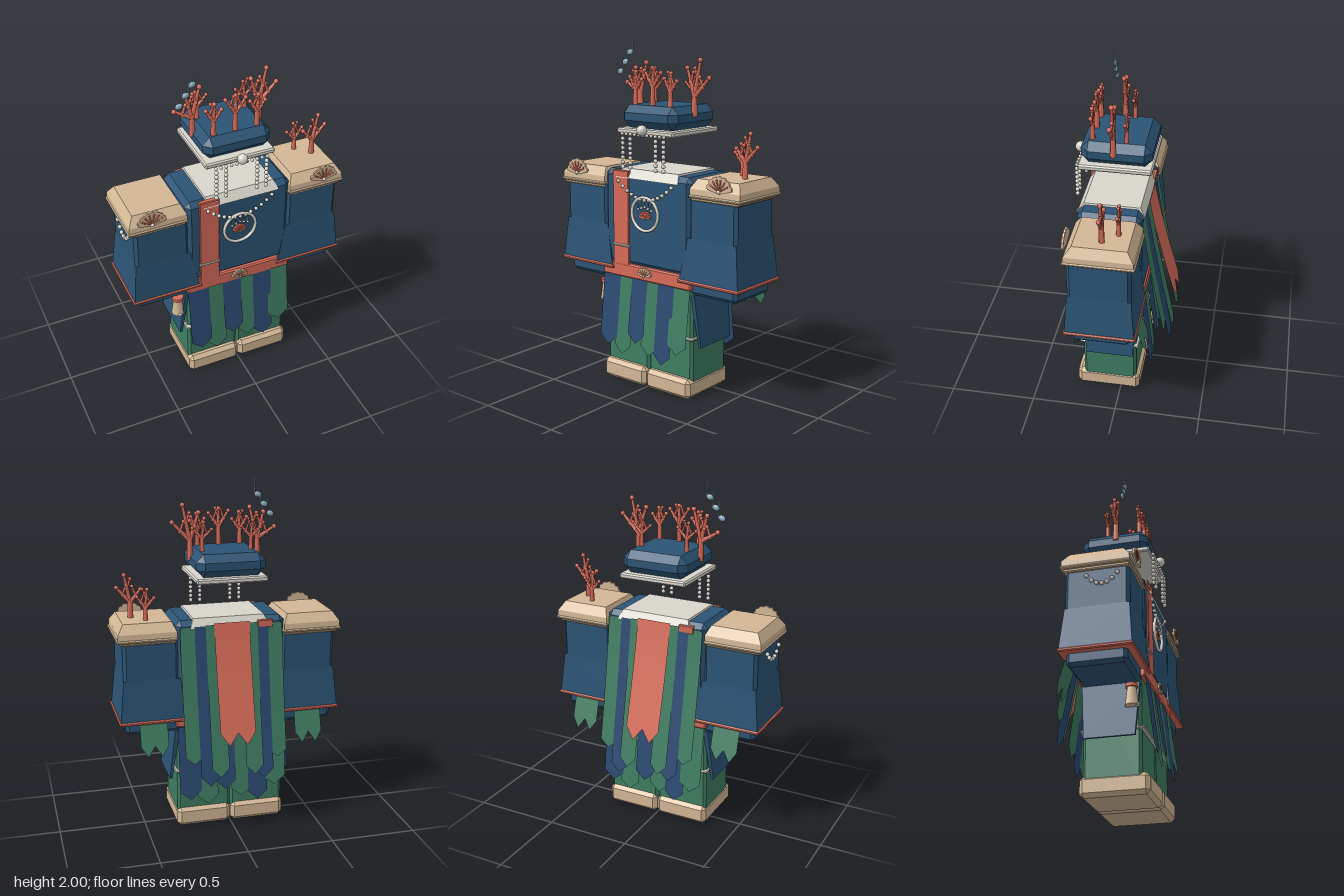
import * as THREE from 'three';
import { ConvexGeometry } from 'three/addons/geometries/ConvexGeometry.js';

const mat = (name, color, side = THREE.FrontSide) => {
  const m = new THREE.MeshStandardMaterial({ color, side });
  m.name = name;
  return m;
};

export function createModel() {
  const root = new THREE.Group();
  root.name = 'coralRobe';
  const blue = mat('robeBlue', 0x2c5475);
  const navy = mat('stripBlue', 0x2b4a72, THREE.DoubleSide);
  const green = mat('seaGreen', 0x3f7d62, THREE.DoubleSide);
  const coralRed = mat('coralRed', 0xd76c59, THREE.DoubleSide);
  const beige = mat('sandBeige', 0xd4b896);
  const pearl = mat('pearlWhite', 0xd9d6cc);
  const mist = mat('mistBlue', 0x8fb0c0);

  const add = (name, geo, m, x = 0, y = 0, z = 0, parent = root) => {
    const mesh = new THREE.Mesh(geo, m);
    mesh.name = name;
    mesh.position.set(x, y, z);
    parent.add(mesh);
    return mesh;
  };
  const group = (name, x = 0, y = 0, z = 0) => {
    const g = new THREE.Group();
    g.name = name;
    g.position.set(x, y, z);
    root.add(g);
    return g;
  };

  // Box with chamfered edges, given by its extents
  const block = (name, m, [x0, x1], [y0, y1], [z0, z1], c = 0.02) => {
    const pts = [];
    const h = [(x1 - x0) / 2, (y1 - y0) / 2, (z1 - z0) / 2];
    for (const a of [-1, 1]) for (const b of [-1, 1]) for (const d of [-1, 1])
      for (let k = 0; k < 3; k++) {
        const i = [c, c, c];
        i[k] = 0;
        pts.push(new THREE.Vector3(a * (h[0] - i[0]), b * (h[1] - i[1]), d * (h[2] - i[2])));
      }
    return add(name, new ConvexGeometry(pts), m, (x0 + x1) / 2, (y0 + y1) / 2, (z0 + z1) / 2);
  };
  // Solid between two rectangles [x0, x1, z0, z1] at two heights
  const taper = (name, m, y0, a, y1, b) => {
    const pts = [];
    for (const [y, r] of [[y0, a], [y1, b]])
      for (const x of [r[0], r[1]]) for (const z of [r[2], r[3]]) pts.push(new THREE.Vector3(x, y, z));
    return add(name, new ConvexGeometry(pts), m);
  };
  // x range on either side of the body
  const sideX = (s, a, b) => (s > 0 ? [a, b] : [-b, -a]);

  // Hanging cloth strip with pointed ends, leaning from z0 to z1
  const strip = (name, m, x, w, yTop, yTip, z0, z1, notch = 0.05, teeth = 1, bend = 1) => {
    const g = new THREE.PlaneGeometry(w, 1, teeth * 2, 8);
    const p = g.attributes.position;
    for (let i = 0; i < p.count; i++) {
      const col = i % (teeth * 2 + 1);
      const len = yTop - yTip - (col % 2 ? 0 : notch);
      const y = yTop - (0.5 - p.getY(i)) * len;
      const t = (yTop - y) / (yTop - yTip);
      p.setXYZ(i, p.getX(i), y, z0 + (z1 - z0) * Math.pow(t, bend));
    }
    g.computeVertexNormals();
    return add(name, g, m, x);
  };

  const bead = (parent, x, y, z, r = 0.012) =>
    add('bead', new THREE.SphereGeometry(r, 10, 8), pearl, x, y, z, parent);

  // Rod between two points in the xy plane
  const rod = (parent, name, m, a, b, r0, r1) => {
    const dx = b[0] - a[0], dy = b[1] - a[1];
    const mesh = add(name, new THREE.CylinderGeometry(r1, r0, Math.hypot(dx, dy), 7), m,
      (a[0] + b[0]) / 2, (a[1] + b[1]) / 2, 0, parent);
    mesh.rotation.z = -Math.atan2(dx, dy);
  };
  // Branching coral: trunk, limbs to the tips and a twig on each limb
  const coral = (x, y, z, fork, tips, r = 0.013) => {
    const g = group('coral', x, y, z);
    rod(g, 'trunk', coralRed, [0, 0], [0, fork], r * 1.2, r);
    for (const t of tips) {
      const mid = [t[0] * 0.55, fork + (t[1] - fork) * 0.5];
      const twig = [mid[0] + (t[0] > 0 ? -0.02 : 0.02), mid[1] + 0.055];
      rod(g, 'limb', coralRed, [0, fork], t, r * 0.9, r * 0.55);
      rod(g, 'twig', coralRed, mid, twig, r * 0.6, r * 0.45);
      for (const [e, k] of [[t, 0.95], [twig, 0.75], [mid, 0.85]])
        add('knob', new THREE.SphereGeometry(r * k, 8, 6), coralRed, e[0], e[1], 0, g);
    }
  };

  // Scalloped fan shell with ribs
  const shell = (x, y, z, r, m = beige) => {
    const g = group('fanShell', x, y, z);
    const n = 7, a0 = 0.1, step = (Math.PI - 2 * a0) / n;
    const at = (a, k) => [Math.cos(a) * r * k, Math.sin(a) * r * k];
    const s = new THREE.Shape();
    s.moveTo(0, -r * 0.15);
    for (let i = 0; i < n; i++) {
      const a = a0 + i * step;
      s.lineTo(...at(a, 0.93));
      s.quadraticCurveTo(...at(a + step / 2, 1.12), ...at(a + step, 0.93));
    }
    s.closePath();
    add('fan', new THREE.ExtrudeGeometry(s, { depth: 0.012, bevelEnabled: false, curveSegments: 4 }), m, 0, 0, 0, g);
    const ribs = new THREE.Group();
    ribs.name = 'ribs';
    ribs.position.z = 0.012;
    g.add(ribs);
    for (let i = 1; i < n; i++)
      rod(ribs, 'rib', coralRed, at(a0 + i * step, 0.1), at(a0 + i * step, 0.8), r * 0.03, r * 0.07);
    add('shellBead', new THREE.SphereGeometry(r * 0.13, 8, 6), pearl, 0, 0, 0.014, g);
  };

  // Shoes, legs, hip flaps and sleeves on both sides
  for (const s of [-1, 1]) {
    block('shoe', beige, sideX(s, 0.002, 0.32), [0, 0.115], [-0.115, 0.26], 0.022);
    block('leg', green, sideX(s, 0, 0.315), [0.08, 0.66], [-0.095, 0.22], 0.015);
    taper('hipFlap', blue, 0.3, [...sideX(s, 0.342, 0.358), -0.08, 0.195], 0.6, [...sideX(s, 0.3, 0.325), -0.1, 0.215]);
    block('upperArm', blue, sideX(s, 0.3, 0.615), [0.9, 1.17], [-0.115, 0.235], 0.018);
    taper('sleeve', blue, 0.68, [...sideX(s, 0.245, 0.64), -0.135, 0.253], 0.925, [...sideX(s, 0.295, 0.615), -0.115, 0.235]);
    block('cuffTrim', coralRed, sideX(s, 0.235, 0.648), [0.672, 0.692], [-0.142, 0.26], 0.006);
    block('hand', blue, sideX(s, 0.29, 0.608), [0.602, 0.69], [-0.105, 0.22], 0.02);
    strip('sleeveFringe', green, s * 0.455, 0.16, 0.675, 0.49, -0.13, -0.185, 0.06, 2);
    // Shoulder pads with a lip and a shell
    block('padBase', beige, sideX(s, 0.315, 0.63), [1.135, 1.165], [-0.125, 0.24], 0.006);
    block('padLip', beige, sideX(s, 0.305, 0.648), [1.15, 1.168], [-0.14, 0.25], 0.006);
    taper('padSide', beige, 1.165, [...sideX(s, 0.31, 0.642), -0.132, 0.243], 1.2, [...sideX(s, 0.31, 0.64), -0.13, 0.24]);
    taper('padTop', beige, 1.2, [...sideX(s, 0.31, 0.64), -0.13, 0.24], 1.252, [...sideX(s, 0.335, 0.607), -0.095, 0.2]);
    shell(s * 0.515, 1.205, 0.245, 0.083);
  }
  block('legBand', pearl, [-0.328, 0.328], [0.342, 0.356], [-0.11, 0.238], 0.005);

  // Torso, collar, sash and belt
  block('torso', blue, [-0.315, 0.315], [0.7, 1.252], [-0.12, 0.24], 0.03);
  taper('collar', pearl, 1.21, [-0.215, 0.235, -0.128, 0.25], 1.262, [-0.195, 0.215, -0.1, 0.215]);
  block('sash', coralRed, [-0.24, -0.122], [0.7, 1.25], [0.22, 0.248], 0.004);
  block('sashBack', coralRed, [-0.24, -0.15], [1.19, 1.235], [-0.13, -0.1], 0.004);
  block('sashClip', pearl, [-0.243, -0.119], [0.812, 0.826], [0.22, 0.254], 0.004);
  block('belt', coralRed, [-0.322, 0.322], [0.63, 0.712], [-0.125, 0.247], 0.008);
  shell(0, 0.662, 0.249, 0.05);

  // Skirt strips, front and back: x, width, tip height
  [[-0.253, 0.128, 0.22], [-0.15, 0.12, 0.18], [-0.045, 0.115, 0.265],
    [0.05, 0.12, 0.21], [0.148, 0.115, 0.18], [0.25, 0.13, 0.26]].forEach(([x, w, tip], i) => {
    const m = i % 2 ? green : navy, lift = i % 2 ? 0 : 0.004;
    strip('frontStrip', m, x, w, 0.635, tip, 0.238 + lift, 0.286 + lift);
    strip('backStrip', m, -x, w, 0.635, tip - 0.02, -0.126 - lift, -0.178 - lift);
  });

  // Cape of layered strips on the back
  strip('capeCenter', coralRed, 0, 0.205, 1.235, 0.56, -0.134, -0.3, 0.07, 2, 1.15);
  for (const s of [-1, 1]) {
    strip('capeInner', green, s * 0.1, 0.1, 1.225, 0.37, -0.13, -0.29, 0.05, 1, 1.15);
    strip('capeMiddle', navy, s * 0.157, 0.11, 1.22, s > 0 ? 0.32 : 0.34, -0.127, -0.283, 0.05, 1, 1.15);
    strip('capeOuter', green, s * 0.243, 0.105, 1.215, 0.45, -0.124, -0.255, 0.04, 1, 1.15);
  }

  // Hat with brim, front pearl and bead strands
  block('hat', blue, [-0.197, 0.197], [1.492, 1.62], [-0.155, 0.235], 0.042);
  block('hatBrim', pearl, [-0.203, 0.203], [1.46, 1.492], [-0.158, 0.25], 0.008);
  const strands = group('hatBeads', 0, 0, 0.262);
  bead(strands, 0, 1.49, 0.008, 0.03);
  for (let i = -5; i <= 5; i++) bead(strands, i * 0.03, 1.462, 0, 0.01);
  for (const x of [-0.147, -0.092, 0.092, 0.147])
    for (let y = 1.435; y > 1.26; y -= 0.0265) bead(strands, x, y, 0);

  // Necklace and the bead swag on the right arm
  const necklace = group('necklace', 0, 0, 0.252);
  for (let i = -6; i <= 6; i++) bead(necklace, i * 0.032, 1.1 + 0.09 * (i / 6) ** 2, 0, 0.011);
  const swag = group('armBeads', -0.628, 0, 0.09);
  for (let i = -3; i <= 3; i++) bead(swag, 0, 1.045 + 0.006 * i * i, i * 0.028, 0.012);

  // Chest medallion
  const medal = group('medallion', 0, 1.02, 0.25);
  add('ring', new THREE.TorusGeometry(0.095, 0.009, 8, 32), pearl, 0, 0, 0, medal);
  for (let i = -2; i <= 2; i++) {
    rod(medal, 'droplet', mist, [i * 0.024, 0.075 - Math.abs(i) * 0.008], [i * 0.024, 0.04 - Math.abs(i) * 0.008], 0.004, 0.004);
    bead(medal, i * 0.024, 0.04 - Math.abs(i) * 0.008, 0, 0.008);
  }
  shell(0, 0.995, 0.242, 0.042, coralRed);

  // Tassel at the right hip
  const tassel = group('tassel', -0.36, 0, 0.18);
  add('tasselCap', new THREE.CylinderGeometry(0.034, 0.034, 0.02, 10), coralRed, 0, 0.565, 0, tassel);
  add('tasselBody', new THREE.CylinderGeometry(0.024, 0.038, 0.1, 10), beige, 0, 0.505, 0, tassel);
  bead(tassel, 0, 0.46, 0.03);

  // Corals on the hat and the left shoulder
  coral(-0.195, 1.56, 0.052, 0.11, [[-0.1, 0.17], [-0.035, 0.255], [0.045, 0.285]], 0.015);
  coral(0.195, 1.56, 0.052, 0.11, [[0.1, 0.215], [0.04, 0.31], [-0.05, 0.265]], 0.015);
  coral(0, 1.61, 0.175, 0.11, [[-0.058, 0.2], [0, 0.215], [0.058, 0.19]]);
  for (const s of [-1, 1]) {
    coral(s * 0.125, 1.61, 0.175, 0.09, [[-0.042, 0.16], [0.005, 0.19], [0.045, 0.15]]);
    coral(s * 0.14, 1.61, -0.012, 0.08, [[-0.055, 0.13], [-0.01, 0.17], [0.055, 0.14]], 0.011);
  }
  coral(0.54, 1.24, 0.052, 0.1, [[-0.06, 0.17], [0.03, 0.255], [0.075, 0.185]], 0.014);
  coral(0.468, 1.24, -0.025, 0.08, [[-0.05, 0.135], [-0.012, 0.185], [0.045, 0.145]], 0.012);

  // Three notes floating above the hat
  for (const [x, y] of [[-0.29, 1.795], [-0.253, 1.85], [-0.216, 1.905]]) {
    const note = group('note', x, y, 0.115);
    const head = add('noteHead', new THREE.SphereGeometry(0.022, 12, 8), mist, 0, 0, 0, note);
    head.scale.set(1, 0.75, 0.5);
    head.rotation.z = 0.35;
    rod(note, 'noteStem', mist, [0.019, 0], [0.019, 0.095], 0.004, 0.004);
  }
  return root;
}
